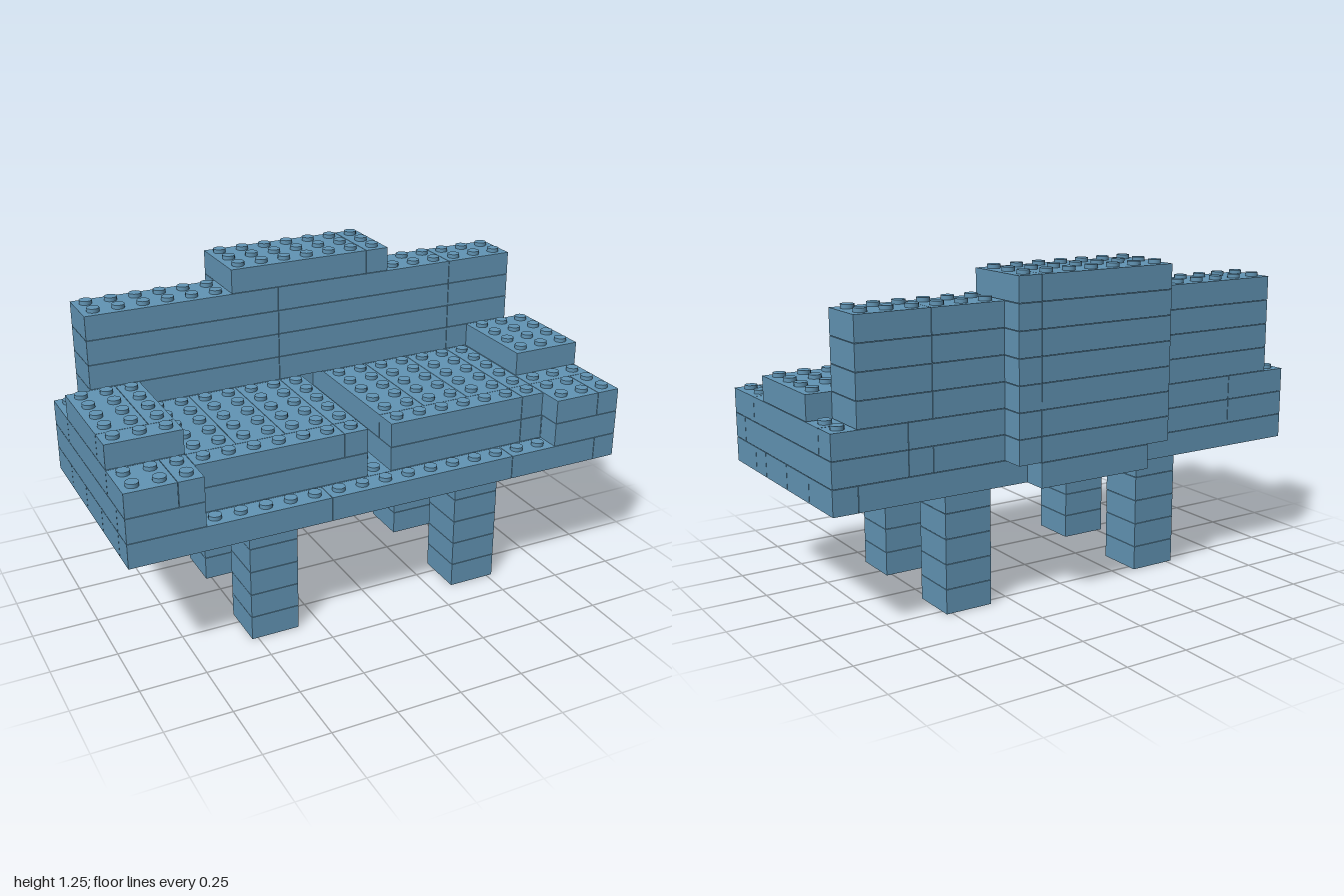
import * as THREE from 'three';
import { mergeGeometries } from 'three/addons/utils/BufferGeometryUtils.js';

const P = 2 / 21;      // stud pitch
const H = 0.0954;      // brick height
const GAP = 0.002;     // hairline joint between bricks
const STUD_R = 0.024, STUD_H = 0.014;

export function createModel() {
  const model = new THREE.Group();
  model.name = 'brickBench';
  const blue = new THREE.MeshStandardMaterial({ color: 0x6295b5 });
  blue.name = 'dustyBlue';

  const gridX = c => -1 + c * P;
  const gridZ = r => (r - 5) * P;

  // one brick spanning columns c0..c1 and rows r0..r1 on a layer
  const brick = (layer, c0, c1, r0, r1) => {
    const g = new THREE.BoxGeometry((c1 - c0) * P - GAP, H - GAP, (r1 - r0) * P - GAP);
    g.translate(gridX((c0 + c1) / 2), (layer + 0.5) * H, gridZ((r0 + r1) / 2));
    return g;
  };
  // a rectangle of bricks split at the given columns
  const course = (layer, cols, r0, r1) =>
    cols.slice(1).map((c, i) => brick(layer, cols[i], c, r0, r1));
  // studs on top of a layer
  const studs = (layer, c0, c1, r0, r1) => {
    const out = [];
    for (let c = c0; c < c1; c++) for (let r = r0; r < r1; r++) {
      const g = new THREE.CylinderGeometry(STUD_R, STUD_R, STUD_H + GAP, 16);
      g.translate(gridX(c + 0.5), (layer + 1) * H + STUD_H / 2 - GAP / 2, gridZ(r + 0.5));
      out.push(g);
    }
    return out;
  };
  const add = (name, parts) => {
    const mesh = new THREE.Mesh(mergeGeometries(parts.flat()), blue);
    mesh.name = name;
    model.add(mesh);
  };

  // four legs, five bricks each
  for (const [side, c] of [['Right', 5], ['Left', 14]])
    for (const [end, r] of [['front', 7], ['rear', 2]]) {
      const parts = [];
      for (let l = 0; l < 5; l++) parts.push(brick(l, c, c + 2, r, r + 2));
      add(end + side + 'Leg', parts);
    }

  // base slab
  add('base', [
    course(5, [0, 8, 16, 20], 9, 10),
    course(5, [0, 7, 14, 20], 7, 9),
    course(5, [0, 8, 16, 20], 5, 7),
    course(5, [0, 7, 14, 20], 3, 5),
    course(5, [0, 8, 13, 20], 1, 3),
    brick(5, 8, 13, 0, 1),
    [[1, 3], [3, 5], [5, 7], [7, 8], [8, 10]].map(([a, b]) => brick(5, 20, 21, a, b)),
    studs(5, 3, 18, 9, 10),
    studs(5, 10, 11, 3, 9),
  ]);

  // seat cushions with a one stud gap between them
  add('rightSeat', [
    course(6, [3, 10], 3, 9),
    course(7, [3, 5, 7, 9, 10], 3, 8),
    brick(7, 3, 9, 8, 9), brick(7, 9, 10, 8, 9),
    studs(7, 3, 10, 3, 9),
  ]);
  add('leftSeat', [
    course(6, [11, 17, 18], 3, 9),
    course(7, [11, 13, 15, 17, 18], 3, 8),
    brick(7, 11, 17, 8, 9), brick(7, 17, 18, 8, 9),
    studs(7, 11, 18, 3, 9),
  ]);

  // armrests
  add('rightArm', [
    brick(6, 0, 3, 1, 9), brick(6, 0, 3, 9, 10),
    brick(7, 0, 3, 1, 3), brick(7, 0, 3, 3, 8), brick(7, 0, 2, 8, 10), brick(7, 2, 3, 8, 10),
    brick(8, 0, 2, 3, 7), brick(8, 2, 3, 3, 7), brick(8, 0, 3, 7, 8),
    studs(8, 0, 3, 3, 8), studs(7, 0, 3, 8, 10), studs(7, 0, 1, 1, 3),
  ]);
  add('leftArm', [
    brick(6, 18, 21, 1, 9), brick(6, 18, 21, 9, 10),
    brick(7, 18, 21, 1, 2), brick(7, 18, 21, 2, 8),
    brick(7, 18, 20, 8, 10), brick(7, 20, 21, 8, 10),
    brick(8, 18, 21, 3, 7),
    studs(8, 18, 21, 3, 7), studs(7, 18, 21, 7, 10), studs(7, 20, 21, 1, 3),
  ]);

  // backrest, with a small pocket behind the seat gap
  const back = [
    course(6, [3, 9, 17, 18], 1, 3),
    course(7, [3, 10, 11, 18], 1, 2), brick(7, 3, 10, 2, 3), brick(7, 11, 18, 2, 3),
    studs(6, 10, 11, 2, 3),
  ];
  for (let l = 8; l < 12; l++) back.push(course(l, [1, 9, 17, 20], 1, 3));
  back.push(studs(11, 1, 7, 1, 3), studs(11, 14, 20, 1, 3));
  add('backrest', back);

  // rear support rising to the crest
  const support = [];
  for (let l = 6; l < 12; l++) support.push(course(l, [7, 13, 14], 0, 1));
  add('rearSupport', support);
  add('crest', [course(12, [7, 13, 14], 0, 3), studs(12, 7, 14, 0, 3)]);

  return model;
}
